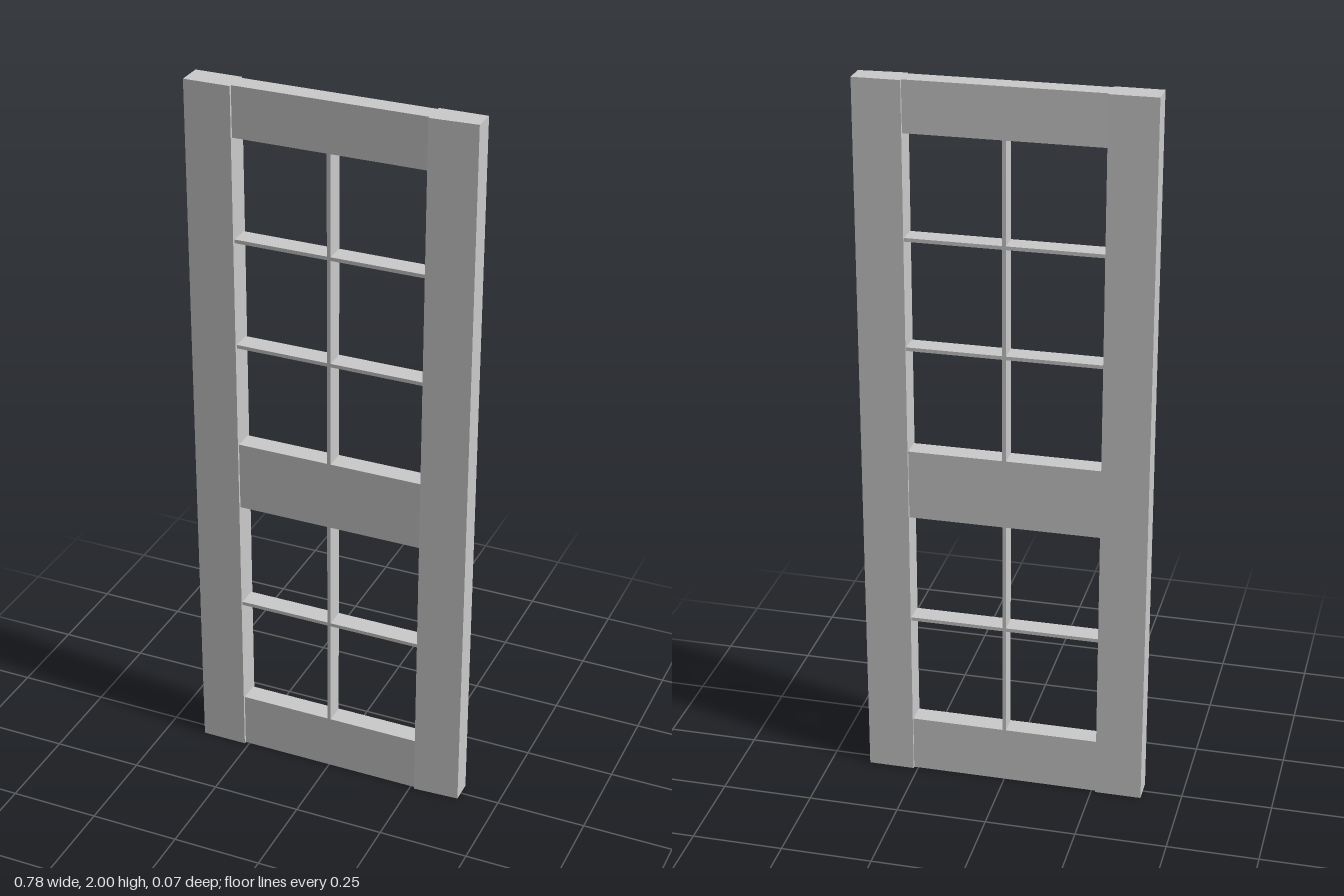
import * as THREE from 'three';

const HEIGHT = 2, OUTER = 0.39, INNER = 0.262;
const STILE_BACK = -0.036, STILE_FRONT = 0.034;
const RAIL_BACK = -0.029, RAIL_FRONT = 0.027;
const BAR = 0.01;

export function createModel() {
  const door = new THREE.Group();
  door.name = 'panelledDoor';
  const material = new THREE.MeshStandardMaterial({ color: 0xcccccc, flatShading: true });

  const add = (name, geometry) => {
    const mesh = new THREE.Mesh(geometry, material);
    mesh.name = name;
    door.add(mesh);
  };

  // Board of rail depth, given by its front rectangle
  const board = (name, x0, x1, y0, y1) => {
    const g = new THREE.BoxGeometry(x1 - x0, y1 - y0, RAIL_FRONT - RAIL_BACK);
    g.translate((x0 + x1) / 2, (y0 + y1) / 2, (RAIL_FRONT + RAIL_BACK) / 2);
    add(name, g);
  };

  // Upright with a plan outline given as [x, z] corners, extruded to full height
  const stile = (name, plan) => {
    const shape = new THREE.Shape(plan.map(([x, z]) => new THREE.Vector2(x, -z)));
    const g = new THREE.ExtrudeGeometry(shape, { depth: HEIGHT, bevelEnabled: false });
    g.rotateX(-Math.PI / 2);
    add(name, g);
  };

  // Stiles: the left one has its front face planed back toward the outer edge
  stile('rightStile', [
    [-OUTER, STILE_FRONT], [-INNER, STILE_FRONT], [-INNER, STILE_BACK], [-OUTER, STILE_BACK],
  ]);
  stile('leftStile', [
    [INNER, STILE_FRONT], [OUTER, RAIL_FRONT], [OUTER, STILE_BACK], [INNER, STILE_BACK],
  ]);

  // Rails
  board('bottomRail', -INNER, INNER, 0, 0.159);
  board('middleRail', -INNER, INNER, 0.79, 0.985);
  board('topRail', -INNER, INNER, 1.862, HEIGHT);

  // Glazing bars: full-width horizontals, with vertical pieces fitted between them
  const openings = [
    { name: 'lower', y0: 0.159, y1: 0.79, bars: [0.478] },
    { name: 'upper', y0: 0.985, y1: 1.862, bars: [1.279, 1.58] },
  ];
  for (const { name, y0, y1, bars } of openings) {
    let start = y0;
    for (const y of bars) {
      board(`${name}HorizontalBar`, -INNER, INNER, y - BAR / 2, y + BAR / 2);
      board(`${name}VerticalBar`, -BAR / 2, BAR / 2, start, y - BAR / 2);
      start = y + BAR / 2;
    }
    board(`${name}VerticalBar`, -BAR / 2, BAR / 2, start, y1);
  }

  return door;
}
